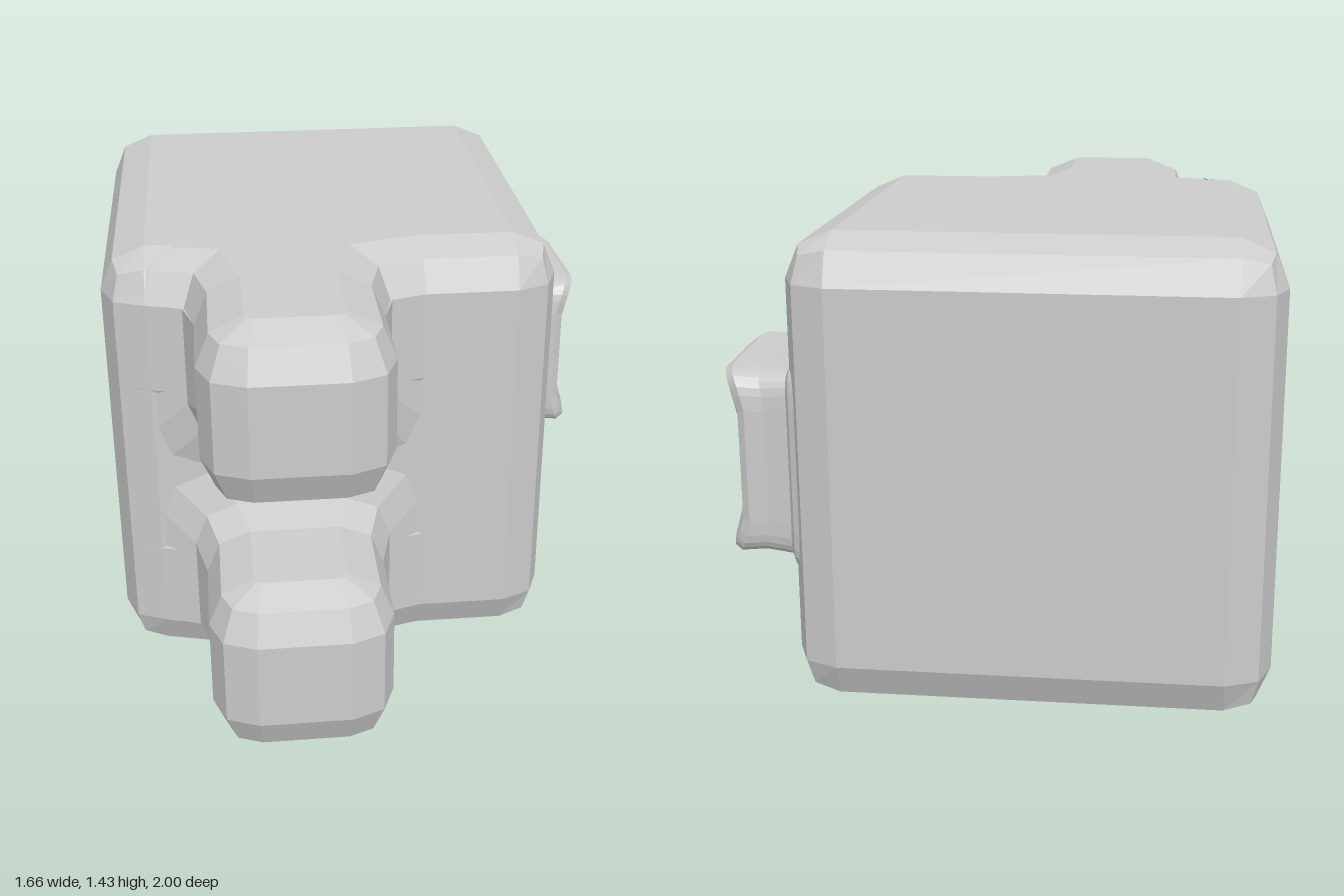
import * as THREE from 'three';
import { RoundedBoxGeometry } from 'three/addons/geometries/RoundedBoxGeometry.js';

const material = new THREE.MeshStandardMaterial({ color: 0xcccccc, flatShading: true });
const BEVEL = 0.14, HEIGHT = 1.43, ARM_X = -0.2725;

// Joins equal-length rings of [x, y, z] points into a flat-shaded skin
function loft(rings) {
  const n = rings[0].length, index = [];
  for (let i = 0; i < rings.length - 1; i++) {
    for (let j = 0; j < n; j++) {
      const a = i * n + j, b = i * n + (j + 1) % n;
      index.push(a, b, b + n, a, b + n, a + n);
    }
  }
  const geo = new THREE.BufferGeometry();
  geo.setAttribute('position', new THREE.Float32BufferAttribute(rings.flat(2), 3));
  geo.setIndex(index);
  geo.computeVertexNormals();
  return geo;
}

// Arm slab with a flared root, bevelled top and bottom
function armGeometry() {
  const half = [[0.2825, 0.57], [0.2825, 0.86], [0.2425, 0.96], [0.1425, 1]];
  const root = [[0.53, 0], [0.53, 0.42], [0.4275, 0.42], [0.3125, 0.45]];
  const side = [...root, ...half];
  const outline = [...side, ...side.map(([x, z]) => [-x, z]).reverse()];
  // The left root stays inside the body's rounded corner
  const points = outline.map(([x, z]) => {
    const px = Math.max(x + ARM_X, -0.75);
    return new THREE.Vector2(px, px <= -0.75 && z > 0 ? -0.4 : -z);
  });
  const geo = new THREE.ExtrudeGeometry(new THREE.Shape(points), {
    depth: 0.565 - 2 * BEVEL, bevelThickness: BEVEL, bevelSize: BEVEL,
    bevelOffset: -BEVEL, bevelSegments: 2,
  });
  return geo.translate(0, 0, BEVEL).rotateX(-Math.PI / 2);
}

// Fillet that blends the inner side of an arm into the body front
function filletGeometry() {
  const ring = (grow, z) => {
    const w = 0.2825 + grow, y = 0.865 - grow, top = 1.29;
    return [
      [w, top, z], [-w, top, z], [-w, y + 0.14, z], [-w + 0.04, y + 0.04, z],
      [-w + 0.14, y, z], [w - 0.14, y, z], [w - 0.04, y + 0.04, z], [w, y + 0.14, z],
    ];
  };
  return loft([ring(0.145, 0.415), ring(0.035, 0.455), ring(0, 0.57)]);
}

// Squarish side knob with a dished outer face
function knobGeometry() {
  const N = 32;
  const power = (t) => Math.sign(t) * Math.abs(t) ** 0.22;
  const height = (u, v) => 0.78 + 0.06 * u * u - 0.04 * v * v + 0.01 * v;
  // [scale of outline, fraction of the way out]
  const levels = [[1.14, -0.1], [1.1, 0.02], [1.01, 0.1], [0.98, 0.5], [1, 0.85],
    [0.95, 0.97], [0.85, 1], [0.6, 1], [0.3, 1], [0, 1]];
  return loft(levels.map(([s, f]) => Array.from({ length: N }, (_, j) => {
    const t = (j + 0.5) / N * 2 * Math.PI;
    const u = s * power(Math.cos(t)), v = s * power(Math.sin(t));
    const x = 0.58 + f * (height(Math.min(1, Math.max(-1, u)), v) - 0.58);
    return [x, 0.715 + 0.29 * u, -0.575 + 0.295 * v];
  })));
}

export function createModel() {
  const group = new THREE.Group();
  const add = (name, geometry) => {
    const mesh = new THREE.Mesh(geometry, material);
    mesh.name = name;
    group.add(mesh);
    return mesh;
  };

  // Main block with two-step rounded edges
  add('body', new RoundedBoxGeometry(1.425, HEIGHT, 1.42, 1, BEVEL))
    .position.set(-0.1275, HEIGHT / 2, -0.29);

  // Two stacked arms reaching forward
  add('lowerArm', armGeometry());
  add('upperArm', armGeometry()).position.y = HEIGHT - 0.565;

  // Fillets facing each other between the arms
  add('upperArmFillet', filletGeometry()).position.x = ARM_X;
  const lower = add('lowerArmFillet', filletGeometry());
  lower.position.set(ARM_X, HEIGHT, 0);
  lower.rotation.z = Math.PI;

  add('sideKnob', knobGeometry());
  return group;
}
